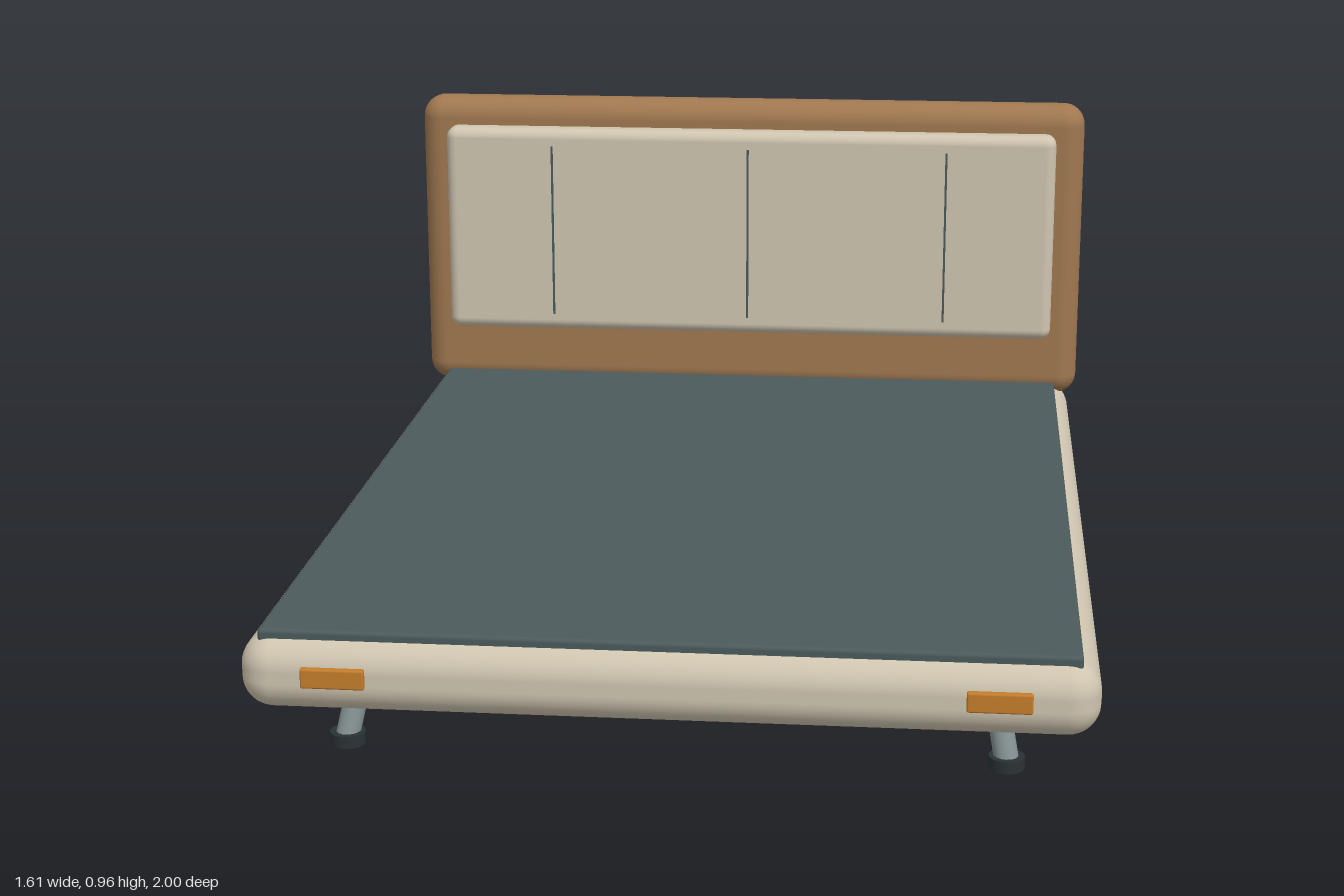
import * as THREE from 'three';
import { RoundedBoxGeometry } from 'three/addons/geometries/RoundedBoxGeometry.js';

const paint = (color) => new THREE.MeshStandardMaterial({ color });

export function createModel() {
  const bed = new THREE.Group();
  bed.name = 'bed';

  const wood = paint(0xa07850);
  const cream = paint(0xcfc5b0);
  const slate = paint(0x4b5a5c);
  const dark = paint(0x2a3235);
  const metal = paint(0x849092);
  const amber = paint(0xc47d2c);

  // Rounded box given by its minimum and maximum corners
  function block(name, [x0, y0, z0], [x1, y1, z1], radius, material, parent = bed) {
    const geometry = new RoundedBoxGeometry(x1 - x0, y1 - y0, z1 - z0, 5, radius);
    const mesh = new THREE.Mesh(geometry, material);
    mesh.position.set((x0 + x1) / 2, (y0 + y1) / 2, (z0 + z1) / 2);
    mesh.name = name;
    parent.add(mesh);
    return mesh;
  }

  // Padded base with a thin deck on top and a dark board below
  block('baseFrame', [-0.785, 0.123, -1], [0.785, 0.265, 0.99], 0.06, cream);
  block('deck', [-0.75, 0.235, -0.93], [0.75, 0.277, 0.955], 0.008, slate);
  block('undersideBoard', [-0.715, 0.112, -0.905], [0.715, 0.15, 0.905], 0.01, dark);

  // Headboard with its cushioned panel
  block('headboard', [-0.803, 0.243, -1], [0.803, 0.957, -0.886], 0.05, wood);
  block('headboardPanel', [-0.735, 0.395, -0.92], [0.735, 0.892, -0.838], 0.025, cream);

  // Stitched seams on the panel
  for (const x of [-0.475, 0, 0.475]) {
    const seam = new THREE.Mesh(new THREE.BoxGeometry(0.005, 0.415, 0.008), slate);
    seam.position.set(x, 0.643, -0.84);
    seam.name = 'panelSeam';
    bed.add(seam);
  }

  const up = new THREE.Vector3(0, 1, 0);
  for (const sx of [-1, 1]) {
    // Small tab on the foot end
    block('footEndTab', [sx * 0.603 - 0.059, 0.181, 0.97], [sx * 0.603 + 0.059, 0.219, 1], 0.004, amber);

    // Splayed legs on round feet
    for (const sz of [-1, 1]) {
      const leg = new THREE.Group();
      leg.name = 'leg';
      const bottom = new THREE.Vector3(sx * 0.622, 0.015, sz * 0.815);
      const top = new THREE.Vector3(sx * 0.6, 0.13, sz * 0.778);
      const axis = top.clone().sub(bottom);
      const post = new THREE.Mesh(new THREE.CylinderGeometry(0.023, 0.023, axis.length(), 20), metal);
      post.position.copy(bottom).add(top).multiplyScalar(0.5);
      post.quaternion.setFromUnitVectors(up, axis.normalize());
      post.name = 'legPost';
      const foot = new THREE.Mesh(new THREE.CylinderGeometry(0.034, 0.034, 0.024, 20), dark);
      foot.position.set(sx * 0.622, 0.012, sz * 0.815);
      foot.name = 'legFoot';
      leg.add(post, foot);
      bed.add(leg);
    }
  }
  return bed;
}
